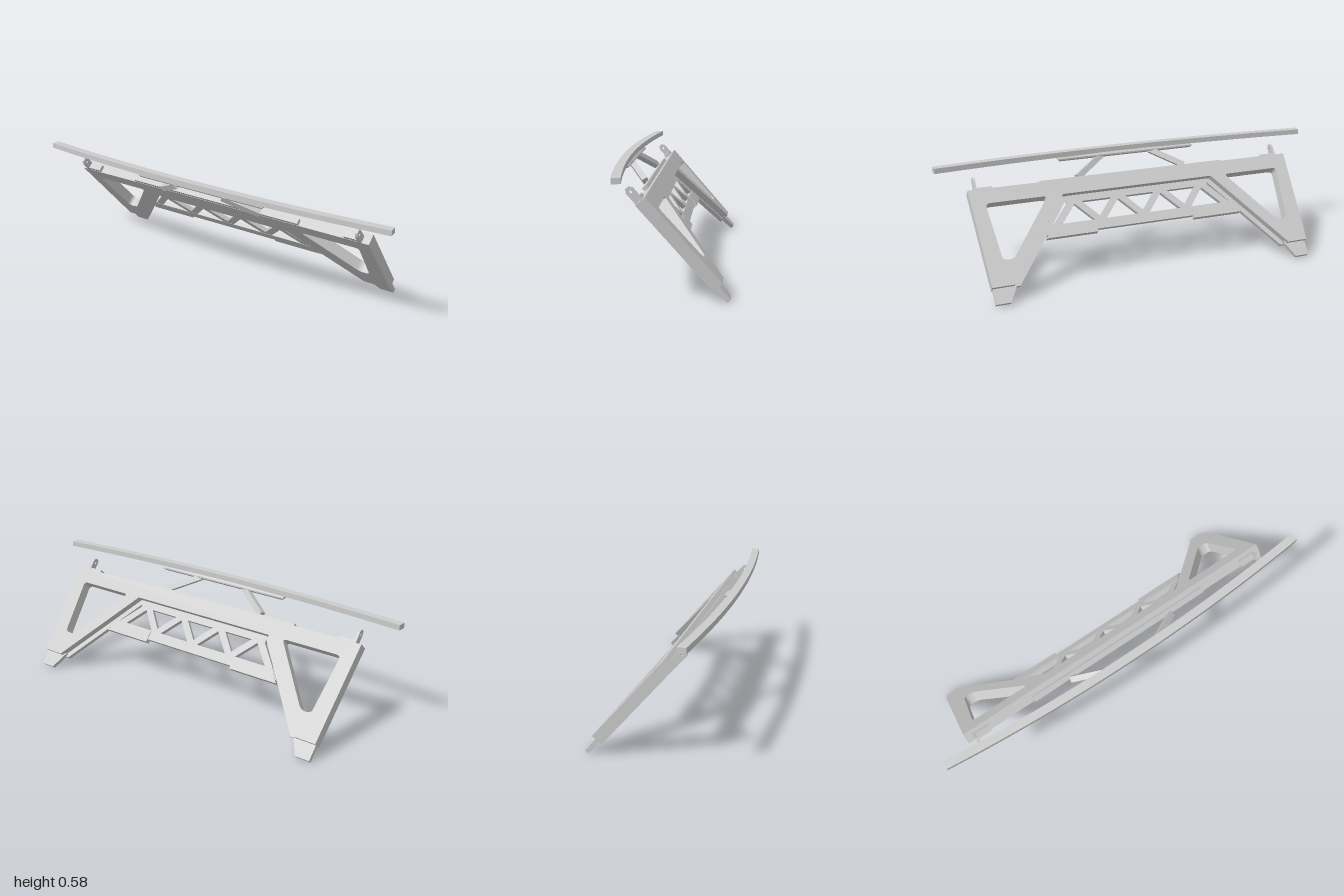
import * as THREE from 'three';

const material = new THREE.MeshStandardMaterial({ color: 0xcccccc, flatShading: true });

function add(parent, name, geometry, x = 0, y = 0, z = 0) {
  const mesh = new THREE.Mesh(geometry, material);
  mesh.name = name;
  mesh.position.set(x, y, z);
  parent.add(mesh);
  return mesh;
}

const box = (w, h, d) => new THREE.BoxGeometry(w, h, d);

// Trace a polygon with rounded corners onto a shape or hole path
function roundedPath(path, points, radius) {
  const p = points.map(([x, y]) => new THREE.Vector2(x, y));
  p.forEach((corner, i) => {
    const toward = (q) => corner.clone().add(q.clone().sub(corner).setLength(radius));
    const a = toward(p[(i + p.length - 1) % p.length]);
    const b = toward(p[(i + 1) % p.length]);
    if (i === 0) path.moveTo(a.x, a.y);
    else path.lineTo(a.x, a.y);
    path.quadraticCurveTo(corner.x, corner.y, b.x, b.y);
  });
  path.closePath();
  return path;
}

// Extrude a shape so its thickness is centred on z = 0
function slab(shape, depth) {
  const g = new THREE.ExtrudeGeometry(shape, { depth, bevelEnabled: false, curveSegments: 5 });
  return g.translate(0, 0, -depth / 2);
}

const polygon = (pts) => new THREE.Shape(pts.map(([x, y]) => new THREE.Vector2(x, y)));
const mirror = (pts, s) => pts.map(([x, y]) => [x * s, y]);

// Straight bar with a rectangular section between two points
function bar(parent, name, from, to, width, depth) {
  const a = new THREE.Vector3(...from), b = new THREE.Vector3(...to);
  const mesh = add(parent, name, box(width, a.distanceTo(b), depth));
  mesh.position.copy(a).add(b).multiplyScalar(0.5);
  mesh.quaternion.setFromUnitVectors(new THREE.Vector3(0, 1, 0), b.sub(a).normalize());
  return mesh;
}

// Top beam and both triangular legs; inset narrows the inner edge of the legs
function framePlate(inset, depth) {
  const inner = [[0.385 + inset, -0.08], [0.723 + inset, -0.515]];
  const outline = polygon([
    [-0.895, 0], [-0.868, -0.515], ...mirror([inner[1], inner[0]], -1),
    ...inner, [0.868, -0.515], [0.895, 0],
  ]);
  const window = [[0.82, -0.08], [0.79, -0.385], [0.735, -0.385], [0.5, -0.08]];
  for (const s of [-1, 1]) outline.holes.push(roundedPath(new THREE.Path(), mirror(window, s), 0.024));
  return slab(outline, depth);
}

function buildFrame() {
  const frame = new THREE.Group();
  frame.name = 'leaningFrame';

  // Front layer leaves a thin flange along the inner edge of the back layer
  add(frame, 'frameFront', framePlate(0, 0.022), 0, 0, 0.0175);
  add(frame, 'frameBack', framePlate(0.033, 0.035), 0, 0, -0.011);

  for (const s of [-1, 1]) {
    // Thinner foot below each leg
    const foot = [[0.735, -0.5], [0.865, -0.5], [0.862, -0.595], [0.787, -0.595]];
    add(frame, 'foot', slab(polygon(mirror(foot, s)), 0.022), 0, 0, 0.004);

    // Lug with a pin hole, and its mounting block
    const lug = polygon([
      [-0.02, -0.01], [0.02, -0.01], [0.02, 0.064], [0.01, 0.08], [-0.01, 0.08], [-0.02, 0.064],
    ]);
    lug.holes.push(new THREE.Path().absarc(0, 0.055, 0.007, 0, Math.PI * 2, true));
    add(frame, 'lug', slab(lug, 0.013), s * 0.85, 0, 0.012).rotation.y = Math.PI / 2;
    add(frame, 'lugBlock', box(0.08, 0.018, 0.034), s * 0.805, 0.009, 0.01);

    // Deeper stiffener at each end of the lower chord
    const stiffener = [[0.27, -0.235], [0.5, -0.235], [0.545, -0.296], [0.27, -0.296]];
    add(frame, 'chordStiffener', slab(polygon(mirror(stiffener, s)), 0.029), 0, 0, 0.014);
  }

  // Lattice between the legs, set toward the front
  const lattice = new THREE.Group();
  lattice.name = 'lattice';
  lattice.position.z = 0.016;
  frame.add(lattice);
  add(lattice, 'latticeTopStrip', box(0.8, 0.04, 0.022), 0, -0.098, 0);
  const chord = polygon([[-0.5, -0.228], [-0.54, -0.28], [0.54, -0.28], [0.5, -0.228]]);
  add(lattice, 'lowerChord', slab(chord, 0.024));
  for (let i = 0; i < 8; i++) {
    const node = (k) => [-0.48 + k * 0.12, k % 2 ? -0.1 : -0.237, 0];
    bar(lattice, 'latticeBrace', node(i), node(i + 1), 0.036, 0.022);
  }

  add(frame, 'mountingStrip', box(1.03, 0.018, 0.028), 0, 0.009, 0.013);
  return frame;
}

function buildRail() {
  const rail = new THREE.Group();
  rail.name = 'railAssembly';

  // Bowed bar, a shallow arc seen from above
  const R = 9.94, half = Math.asin(1.039 / R), mid = Math.PI / 2;
  const arc = new THREE.Shape();
  arc.absarc(0, 0, R + 0.021, mid - half, mid + half, false);
  arc.absarc(0, 0, R - 0.021, mid + half, mid - half, true);
  const g = new THREE.ExtrudeGeometry(arc, { depth: 0.027, bevelEnabled: false, curveSegments: 24 });
  g.rotateX(Math.PI / 2);
  add(rail, 'bowedBar', g, 0, 0.58, 0.239 - R);

  // Carrier plate under the bar, bevelled all round
  const plate = polygon([[-0.375, -0.006], [0.375, -0.006], [0.375, 0.006], [-0.375, 0.006]]);
  const plateGeometry = new THREE.ExtrudeGeometry(plate, {
    depth: 0.007, bevelThickness: 0.009, bevelSize: 0.01, bevelSegments: 1,
  });
  plateGeometry.rotateX(Math.PI / 2);
  add(rail, 'carrierPlate', plateGeometry, 0, 0.546, 0.223);

  // Slanted struts from the beam to the carrier
  for (const s of [-1, 1]) {
    bar(rail, 'strut', [s * 0.305, 0.458, 0.137], [s * 0.14, 0.537, 0.228], 0.03, 0.03);
  }
  return rail;
}

export function createModel() {
  const model = new THREE.Group();
  model.name = 'bowedRailStand';
  const body = new THREE.Group();
  body.name = 'standBody';
  body.position.set(-0.056, 0, 0.018);
  body.rotation.y = 0.294;
  model.add(body);

  const frame = buildFrame();
  frame.position.set(0, 0.457, 0.1);
  frame.rotation.x = 0.72;
  body.add(frame, buildRail());
  return model;
}
